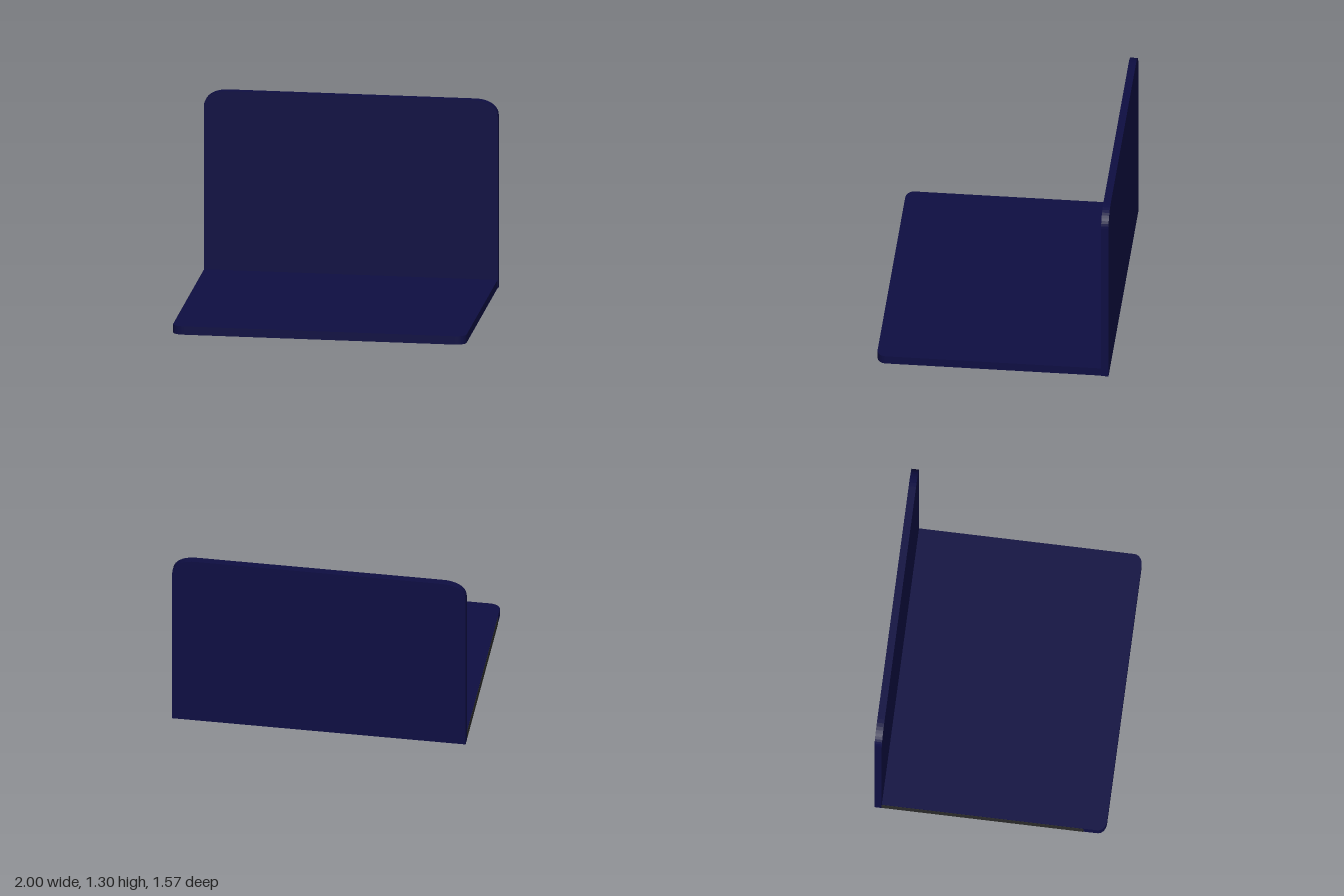
import * as THREE from 'three';

const navy = new THREE.MeshStandardMaterial({ color: 0x0e0e42 });
navy.name = 'navy';
const charcoal = new THREE.MeshStandardMaterial({ color: 0x2a2a29 });
charcoal.name = 'charcoal';

// Rectangle outline from y0 to y1 whose corners at y1 are rounded by rx, ry
function roundedEnd(halfWidth, y0, y1, rx, ry) {
  const dir = Math.sign(y1 - y0);
  const s = new THREE.Shape();
  s.moveTo(-halfWidth, y0);
  s.lineTo(halfWidth, y0);
  s.lineTo(halfWidth, y1 - dir * ry);
  s.bezierCurveTo(halfWidth, y1 - dir * ry * 0.4, halfWidth - rx * 0.4, y1, halfWidth - rx, y1);
  s.lineTo(-halfWidth + rx, y1);
  s.bezierCurveTo(-halfWidth + rx * 0.4, y1, -halfWidth, y1 - dir * ry * 0.4, -halfWidth, y1 - dir * ry);
  s.closePath();
  return s;
}

function slab(name, shape, depth, material) {
  const geometry = new THREE.ExtrudeGeometry(shape, { depth, bevelEnabled: false, curveSegments: 10 });
  const mesh = new THREE.Mesh(geometry, material);
  mesh.name = name;
  return mesh;
}

// Lies flat: the outline's second coordinate becomes -z
function flatSlab(name, shape, depth, y, material) {
  const mesh = slab(name, shape, depth, material);
  mesh.geometry.rotateX(-Math.PI / 2);
  mesh.position.y = y;
  return mesh;
}

const outline = (points) => new THREE.Shape(points.map(([x, z]) => new THREE.Vector2(x, -z)));

export function createModel() {
  const model = new THREE.Group();
  model.name = 'openLaptop';

  // Upright lid with rounded top corners
  const lid = slab('lid', roundedEnd(1, 0, 1.305, 0.16, 0.11), 0.05, navy);
  lid.position.z = -0.785;
  model.add(lid);

  // Flat base with rounded front corners
  model.add(flatSlab('base', roundedEnd(0.998, 0.735, -0.785, 0.08, 0.06), 0.058, 0.002, navy));

  // Dark panels on the underside
  model.add(flatSlab('rearUnderPanel', outline([
    [0.86, -0.73], [0.65, -0.55], [0.62, -0.2], [0.58, -0.16], [-0.998, -0.14], [-0.998, -0.73],
  ]), 0.004, 0, charcoal));
  model.add(flatSlab('frontUnderPanel', outline([
    [0.61, 0.24], [0.61, 0.76], [-0.91, 0.76], [-0.91, 0.28], [-0.87, 0.24],
  ]), 0.004, 0, charcoal));

  // Dark strip along one side of the base
  const strip = new THREE.Mesh(new THREE.BoxGeometry(0.004, 0.055, 1.37), charcoal);
  strip.name = 'sideStrip';
  strip.position.set(-0.998, 0.0295, -0.05);
  model.add(strip);

  return model;
}
